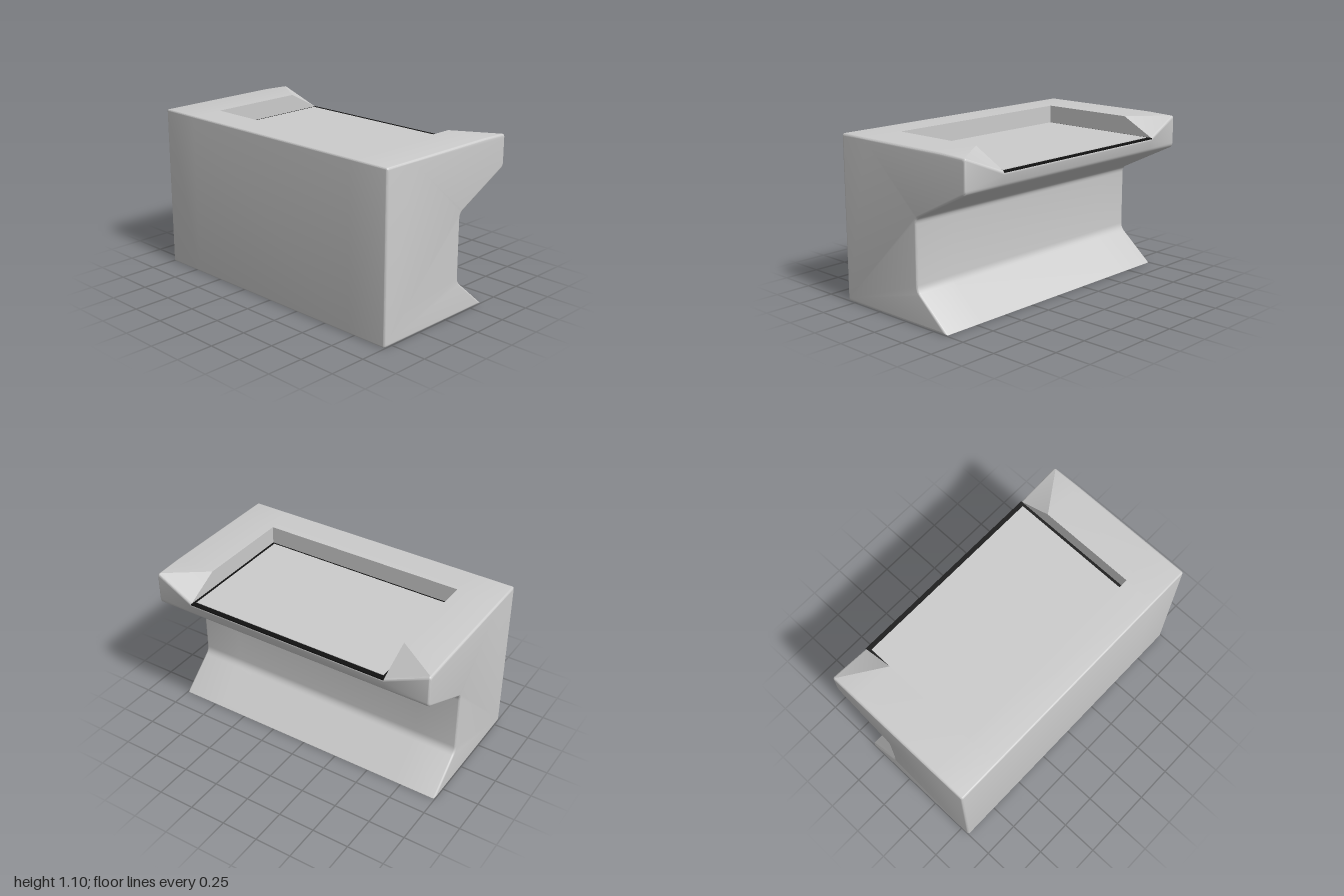
import * as THREE from 'three';
import { toCreasedNormals } from 'three/addons/utils/BufferGeometryUtils.js';

const BEVEL = 0.014, ARM_X = 0.71, FLOOR_Y = 0.975, STEPS = 5;

// Corner radius for each of the ten profile corners
const RADII = [0.012, 0.012, 0, 0, 0, 0.018, 0.025, 0.035, 0.035, 0.008];

// Side profile as [z, y] corners; the top run and the back tip vary across the width
function corners(top, tip) {
  return [
    [0.565, 0], [0.565, 1.1], [0.34, 1.1], ...top, tip,
    [-0.535, 0.88], [-0.11, 0.67], [-0.11, 0.22], [-0.365, 0],
  ].map(([z, y]) => new THREE.Vector2(z, y));
}

// Move every edge of a profile inwards by d
function inset(points, d) {
  const n = points.length;
  const normal = (a, b) => new THREE.Vector2(a.y - b.y, b.x - a.x).normalize();
  return points.map((p, i) => {
    const n1 = normal(points[(i + n - 1) % n], p);
    const n2 = normal(p, points[(i + 1) % n]);
    return p.clone().addScaledVector(n1.clone().add(n2), d / (1 + n1.dot(n2)));
  });
}

// Round the corners of a profile
function rounded(points) {
  const n = points.length;
  return points.flatMap((p, i) => {
    if (!RADII[i]) return [p];
    const toward = (q) => p.clone().addScaledVector(q.clone().sub(p).normalize(), RADII[i]);
    const curve = new THREE.QuadraticBezierCurve(
      toward(points[(i + n - 1) % n]), p, toward(points[(i + 1) % n]));
    return curve.getPoints(STEPS);
  });
}

// Loft the cross-sections along x and close both ends
function loft(rings) {
  const positions = [], index = [];
  const n = rings[0].points.length;
  for (const { x, points } of rings) for (const p of points) positions.push(x, p.y, p.x);
  for (let r = 0; r < rings.length - 1; r++) {
    const onPlusSide = rings[r].x > 0;
    for (let i = 0; i < n; i++) {
      const a0 = r * n + i, b0 = r * n + (i + 1) % n, a1 = a0 + n, b1 = b0 + n;
      // the split mirrors so that both arms fold the same way
      if (onPlusSide) index.push(a0, a1, b1, a0, b1, b0);
      else index.push(a0, a1, b0, b0, a1, b1);
    }
  }
  const last = (rings.length - 1) * n;
  for (const [a, b, c] of THREE.ShapeUtils.triangulateShape(rings[0].points, [])) {
    index.push(a, b, c, last + a, last + c, last + b);
  }
  const geometry = new THREE.BufferGeometry();
  geometry.setAttribute('position', new THREE.Float32BufferAttribute(positions, 3));
  geometry.setIndex(index);
  return toCreasedNormals(geometry, 0.5);
}

function bodyGeometry() {
  const armTop = [[0.3, 1.1], [-0.33, 1.1]];
  const outer = corners(armTop, [-0.535, 1.092]);
  const inner = corners(armTop, [-0.565, FLOOR_Y]);
  const recess = corners([[0.34, FLOOR_Y], [-0.33, FLOOR_Y]], [-0.565, FLOOR_Y]);

  // One half, from the outer end to the recess
  const half = [];
  for (let i = 0; i <= 4; i++) {
    const t = (i / 4) * Math.PI / 2;
    half.push({
      x: 1 - BEVEL * (1 - Math.cos(Math.PI / 2 - (Math.PI / 2 - t))),
      points: rounded(inset(outer, BEVEL * (1 - Math.sin(t)))),
    });
  }
  half.push({ x: ARM_X, points: rounded(inner) }, { x: ARM_X, points: rounded(recess) });

  const left = half.map(({ x, points }) => ({ x: -x, points }));
  return loft([...left, ...half.reverse()]);
}

// Flat plate given by its half width, z range and y range
function plate(name, halfWidth, z0, z1, y0, y1, color) {
  const mesh = new THREE.Mesh(
    new THREE.BoxGeometry(halfWidth * 2, y1 - y0, z1 - z0),
    new THREE.MeshStandardMaterial({ color }));
  mesh.position.set(0, (y0 + y1) / 2, (z0 + z1) / 2);
  mesh.name = name;
  return mesh;
}

export function createModel() {
  const model = new THREE.Group();
  model.name = 'counter';

  // Body with overhanging top, waist and flared foot
  const body = new THREE.Mesh(bodyGeometry(), new THREE.MeshStandardMaterial({ color: 0xcccccc }));
  body.name = 'body';
  model.add(body);

  // Dark border and grey panel lying in the recess
  model.add(plate('panelBorder', ARM_X, -0.563, 0.34, FLOOR_Y - 0.004, FLOOR_Y + 0.004, 0x111111));
  model.add(plate('topPanel', 0.69, -0.53, 0.325, FLOOR_Y, FLOOR_Y + 0.008, 0xcccccc));
  return model;
}
